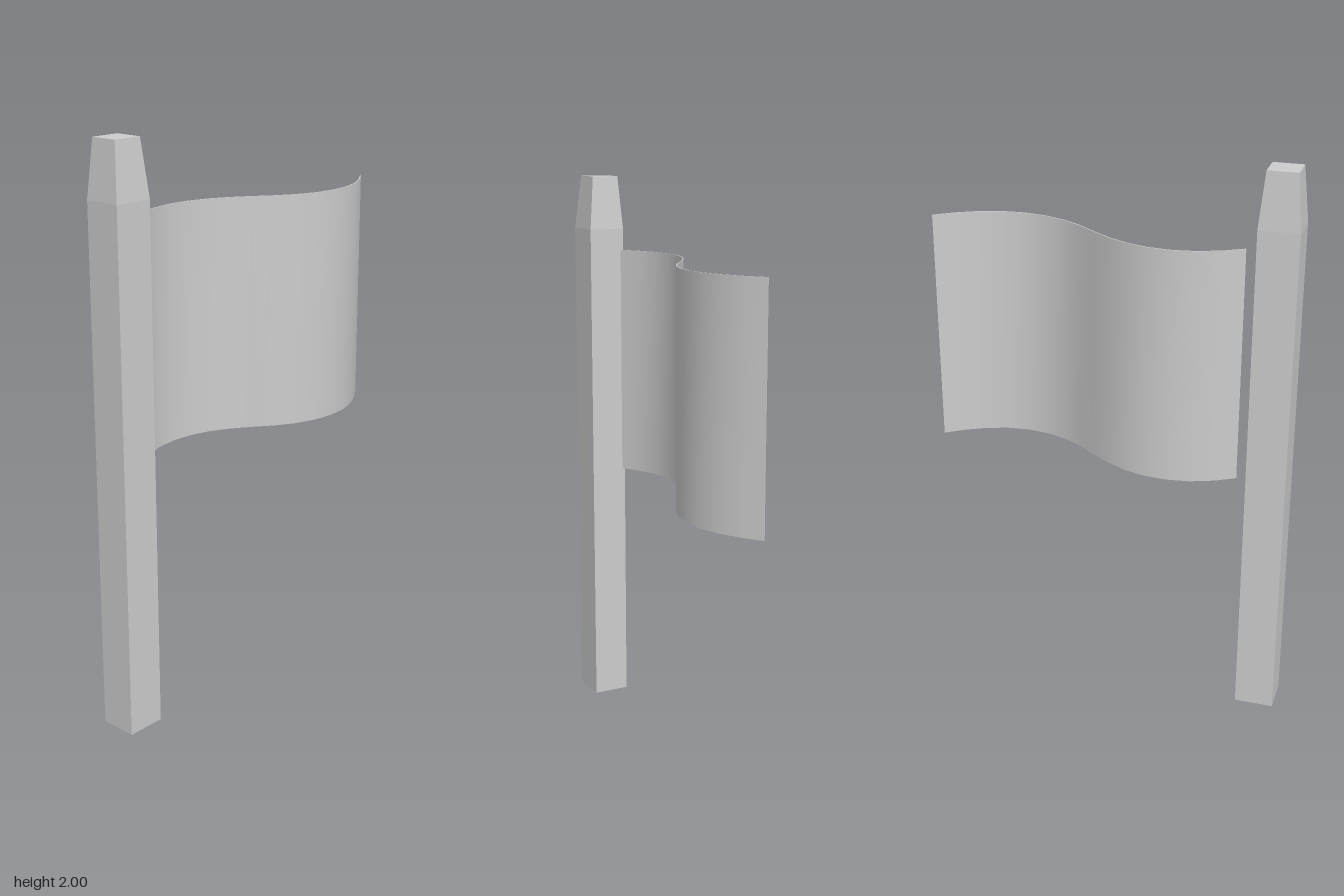
import * as THREE from 'three';

const grey = new THREE.MeshStandardMaterial({ color: 0xcccccc });
grey.name = 'grey';

// Square post whose top section tapers to a smaller flat cap
function makePost() {
  const geo = new THREE.BoxGeometry(0.138, 2, 0.132, 1, 2, 1);
  const pos = geo.attributes.position;
  for (let i = 0; i < pos.count; i++) {
    const y = pos.getY(i);
    if (y > 0.5) {
      pos.setX(i, pos.getX(i) * 0.75);
      pos.setZ(i, pos.getZ(i) * 0.75 - 0.003);
    }
    pos.setY(i, y < -0.5 ? 0 : y > 0.5 ? 2 : 1.81);
  }
  const flat = geo.toNonIndexed();
  flat.computeVertexNormals();
  const post = new THREE.Mesh(flat, grey);
  post.name = 'post';
  post.position.set(-0.567, 0, -0.001);
  return post;
}

// Thin cloth: a slim box bent along a wave seen from above
function makeFlag() {
  const wave = [
    [-0.46, -0.039], [-0.39, -0.079], [-0.313, -0.107], [-0.233, -0.118],
    [-0.155, -0.113], [-0.08, -0.092], [-0.008, -0.055], [0.06, -0.009],
    [0.12, 0.037], [0.19, 0.077], [0.265, 0.103], [0.343, 0.113],
    [0.423, 0.106], [0.5, 0.082], [0.57, 0.045], [0.635, 0],
  ];
  const n = wave.length - 1;
  const half = 0.002;
  const geo = new THREE.BoxGeometry(n, 0.826, 2, n, 1, 1);
  const pos = geo.attributes.position;
  for (let i = 0; i < pos.count; i++) {
    const k = Math.round(pos.getX(i) + n / 2);
    const a = wave[Math.max(k - 1, 0)];
    const b = wave[Math.min(k + 1, n)];
    const side = (pos.getZ(i) * half) / Math.hypot(b[0] - a[0], b[1] - a[1]);
    pos.setX(i, wave[k][0] - (b[1] - a[1]) * side);
    pos.setZ(i, wave[k][1] + (b[0] - a[0]) * side);
  }
  geo.computeVertexNormals();
  const flag = new THREE.Mesh(geo, grey);
  flag.name = 'flag';
  flag.position.y = 1.323;
  return flag;
}

export function createModel() {
  const model = new THREE.Group();
  model.name = 'flagOnPost';
  model.add(makePost(), makeFlag());
  return model;
}
